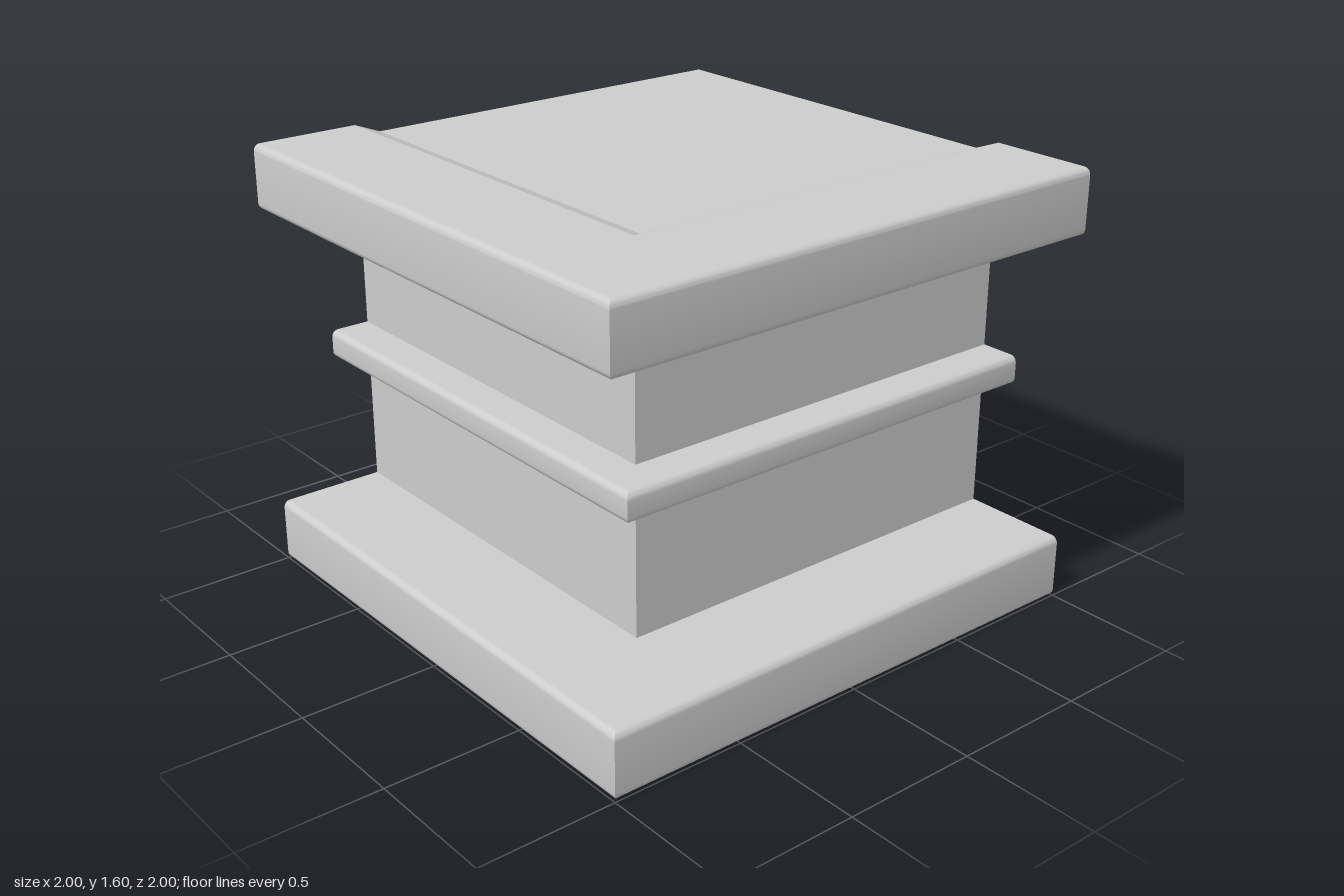
import * as THREE from 'three';
import { toCreasedNormals } from 'three/addons/utils/BufferGeometryUtils.js';

const material = new THREE.MeshStandardMaterial({ color: 0xcccccc, side: THREE.DoubleSide });
const END = -1; // both legs of the corner stop open at x = -1 and z = -1

// Sweep a profile of [distance, height] points, listed bottom to top, around a mitred corner
function cornerSweep(name, profile) {
  const pos = [];
  const quad = (a, b, c, d) => pos.push(...a, ...b, ...c, ...a, ...c, ...d);
  for (let i = 0; i < profile.length - 1; i++) {
    const [d0, y0] = profile[i];
    const [d1, y1] = profile[i + 1];
    quad([END, y0, d0], [d0, y0, d0], [d1, y1, d1], [END, y1, d1]); // front leg
    quad([d0, y0, d0], [d0, y0, END], [d1, y1, END], [d1, y1, d1]); // side leg
  }
  const geometry = new THREE.BufferGeometry();
  geometry.setAttribute('position', new THREE.Float32BufferAttribute(pos, 3));
  const mesh = new THREE.Mesh(toCreasedNormals(geometry, 0.35), material);
  mesh.name = name;
  return mesh;
}

// Outward-facing band with rounded lower and upper edges
function roundedBand(inner, outer, y0, y1, r, steps = 6) {
  const points = [[inner, y0]];
  for (const [cy, start] of [[y0 + r, -Math.PI / 2], [y1 - r, 0]]) {
    for (let i = 0; i <= steps; i++) {
      const a = start + (i / steps) * Math.PI / 2;
      points.push([outer - r + r * Math.cos(a), cy + r * Math.sin(a)]);
    }
  }
  points.push([inner, y1]);
  return points;
}

// Square recessed panel filling the area inside the sloped border
function panel(name, y, facing) {
  const size = 0.5 - END;
  const geometry = new THREE.PlaneGeometry(size, size).rotateX(-facing * Math.PI / 2);
  const mesh = new THREE.Mesh(geometry, material);
  mesh.position.set((0.5 + END) / 2, y, (0.5 + END) / 2);
  mesh.name = name;
  return mesh;
}

export function createModel() {
  const group = new THREE.Group();
  group.name = 'cornerBlock';
  const wall = 0.6, slope = 0.5, recess = 0.04, height = 1.6;
  const slab = 0.235, ledgeLow = 0.747, ledgeHigh = 0.853;

  // Base and cap slabs, each with a sloped border down to its recessed panel
  group.add(cornerSweep('baseSlab',
    [[slope, recess], ...roundedBand(wall, 1, 0, slab, 0.025)]));
  group.add(cornerSweep('capSlab',
    [...roundedBand(wall, 1, height - slab, height, 0.025), [slope, height - recess]]));
  group.add(panel('basePanel', recess, -1));
  group.add(panel('capPanel', height - recess, 1));

  // Two wall sections with a thin ledge between them
  group.add(cornerSweep('lowerWall', [[wall, slab], [wall, ledgeLow]]));
  group.add(cornerSweep('ledge', roundedBand(wall, 0.75, ledgeLow, ledgeHigh, 0.025)));
  group.add(cornerSweep('upperWall', [[wall, ledgeHigh], [wall, height - slab]]));
  return group;
}
